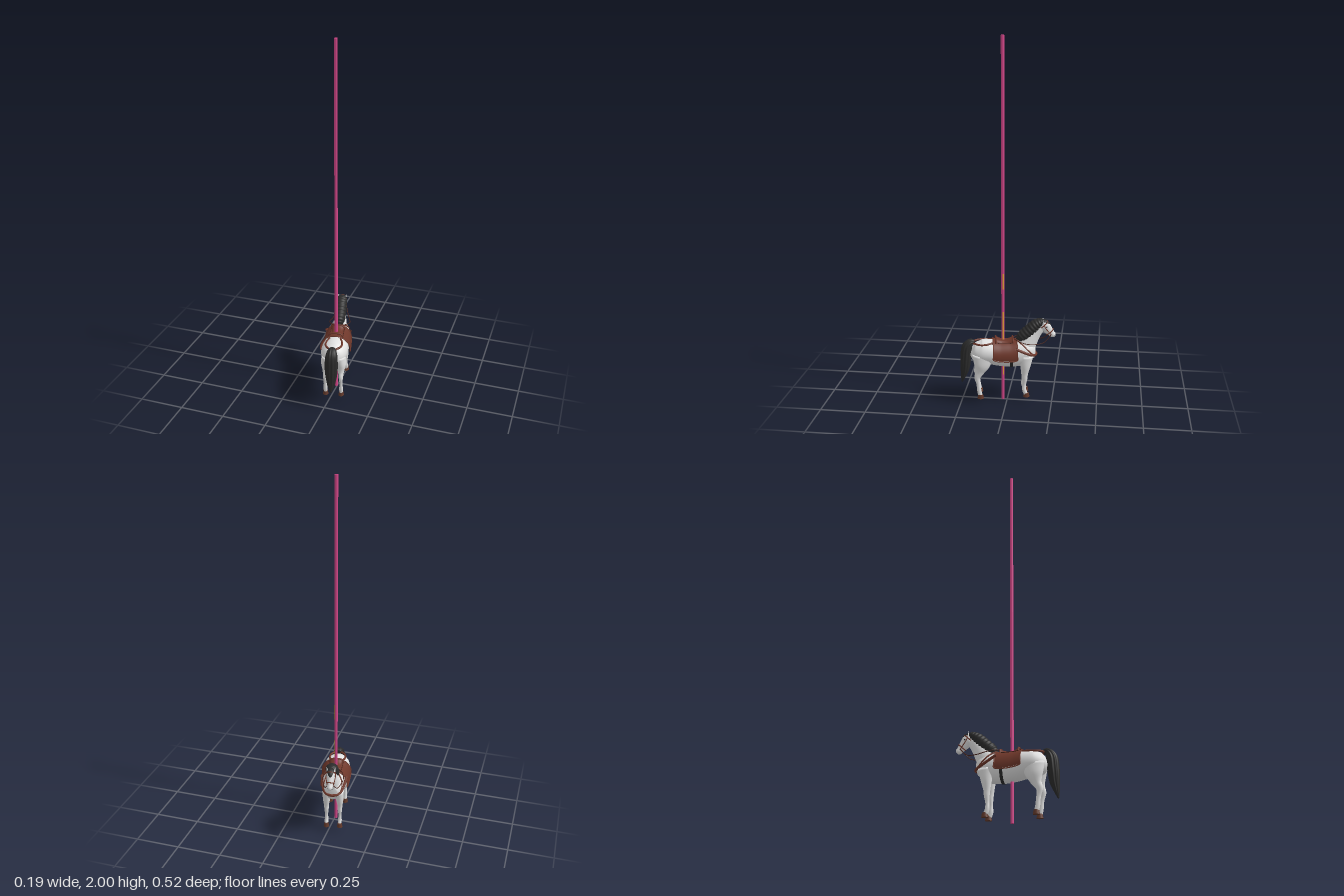
import * as THREE from 'three';
import { mergeVertices } from 'three/addons/utils/BufferGeometryUtils.js';

const mat = (name, color, side = THREE.FrontSide) => {
  const m = new THREE.MeshStandardMaterial({ color, side });
  m.name = name;
  return m;
};

// Smooth surface from a rule fn(u, v) -> [x, y, z]
function surface(nu, nv, fn) {
  const pos = [], idx = [];
  for (let j = 0; j <= nv; j++) for (let i = 0; i <= nu; i++) pos.push(...fn(i / nu, j / nv));
  for (let j = 0; j < nv; j++) for (let i = 0; i < nu; i++) {
    const a = j * (nu + 1) + i, b = a + 1, c = a + nu + 1, d = c + 1;
    idx.push(a, b, c, b, d, c);
  }
  let g = new THREE.BufferGeometry();
  g.setAttribute('position', new THREE.Float32BufferAttribute(pos, 3));
  g.setIndex(idx);
  g = mergeVertices(g, 1e-5);
  g.computeVertexNormals();
  return g;
}

// Closed body through sections [x, y, z, halfWidth, halfDepth]; strands gives hair grooves
function loft(sections, rows = 28, sides = 24, strands = 0, waves = 0) {
  const path = new THREE.CatmullRomCurve3(sections.map(s => new THREE.Vector3(s[0], s[1], s[2])), false, 'catmullrom');
  const size = new THREE.CatmullRomCurve3(sections.map(s => new THREE.Vector3(s[3], s[4], 0)), false, 'catmullrom');
  return surface(sides, rows + 2, (u, v) => {
    const j = Math.round(v * (rows + 2)) - 1;
    const s = Math.min(1, Math.max(0, j / rows));
    const c = path.getPoint(s), r = size.getPoint(s), t = path.getTangent(s);
    const len = Math.hypot(t.y, t.z), a = u * Math.PI * 2;
    const k = j < 0 || j > rows ? 0
      : 1 + (strands ? 0.06 * Math.cos(a * strands) : 0) + (waves ? 0.05 * Math.sin(s * waves) : 0);
    const w = Math.cos(a) * r.x * k, d = Math.sin(a) * r.y * k;
    return [c.x + w, c.y + d * t.z / len, c.z - d * t.y / len];
  });
}

const tube = (pts, r, closed = false) => new THREE.TubeGeometry(
  new THREE.CatmullRomCurve3(pts.map(p => new THREE.Vector3(...p)), closed), 40, r, 8, closed);

// Barrel sections from rump to chest
const BODY = [
  [0, .305, .198, .014, .022], [0, .30, .185, .046, .046], [0, .29, .15, .068, .066],
  [0, .288, .10, .073, .068], [0, .276, .04, .068, .07], [0, .272, -.02, .065, .073],
  [0, .28, -.08, .06, .076], [0, .283, -.125, .05, .06], [0, .28, -.153, .028, .034],
];

// Point on the barrel at z, angle a from the top, raised by off
function onBody(z, a, off) {
  let i = 0;
  while (i < BODY.length - 2 && BODY[i + 1][2] > z) i++;
  const p = BODY[i], q = BODY[i + 1], k = (p[2] - z) / (p[2] - q[2]);
  const mix = n => p[n] + (q[n] - p[n]) * k;
  return [Math.sin(a) * (mix(3) + off), mix(1) + Math.cos(a) * (mix(4) + off), z];
}

const wrap = (z0, z1, a0, a1, off) => surface(32, 14, (u, v) =>
  onBody(z0 + (z1 - z0) * v, a0 + (a1 - a0) * u, typeof off === 'function' ? off(u, v) : off));

export function createModel() {
  const coat = mat('white coat', 0xe2e2e2);
  const hair = mat('black hair', 0x2b2b2b, THREE.DoubleSide);
  const leather = mat('brown leather', 0x6e372a, THREE.DoubleSide);
  const trim = mat('dark leather', 0x4a241c);
  const hoofMat = mat('hoof brown', 0x62392b);
  const pink = mat('pink pole paint', 0xd6478a);
  const gold = mat('gold paint', 0xe9a23b, THREE.DoubleSide);

  const model = new THREE.Group();
  const horse = new THREE.Group();
  horse.name = 'horse';
  horse.position.x = -0.0075;
  horse.rotation.y = 0.18;
  model.add(horse);
  const add = (name, geo, m, parent = horse) => {
    const mesh = new THREE.Mesh(geo, m);
    mesh.name = name;
    parent.add(mesh);
    return mesh;
  };

  // Pole with gold patches on one side
  const poleX = -0.006, poleZ = 0.024;
  add('pole', new THREE.CylinderGeometry(.009, .009, 2, 24), pink, model).position.set(poleX, 1, poleZ);
  for (const [y0, y1] of [[.15, .21], [.34, .52], [.65, .74]])
    add('goldPatch', new THREE.CylinderGeometry(.0094, .0094, y1 - y0, 8, 1, true, Math.PI * .5, Math.PI * .3), gold, model)
      .position.set(poleX, (y0 + y1) / 2, poleZ);

  // Body, neck and head
  add('body', loft(BODY, 36, 32), coat);
  add('neck', loft([
    [0, .28, -.085, .048, .06], [0, .335, -.113, .038, .051], [0, .39, -.148, .027, .039],
    [0, .435, -.182, .021, .032], [0, .45, -.195, .016, .024]]), coat);
  add('head', loft([
    [0, .454, -.188, .016, .018], [0, .435, -.205, .024, .032], [0, .41, -.225, .020, .026],
    [0, .39, -.243, .015, .019], [0, .377, -.255, .015, .016], [0, .37, -.261, .009, .009]]), coat);

  // Mane, forelock and tail
  add('mane', loft([
    [0, .345, -.058, .012, .016], [0, .37, -.083, .030, .034], [0, .403, -.118, .034, .034],
    [0, .435, -.152, .033, .032], [0, .456, -.182, .029, .022], [0, .462, -.2, .016, .01]], 60, 40, 0, 75), hair);
  add('forelock', loft([
    [0, .463, -.192, .014, .009], [0, .459, -.212, .018, .008], [0, .446, -.23, .012, .007],
    [0, .432, -.239, .003, .003]], 16, 20, 5), hair);
  add('tail', loft([
    [0, .345, .183, .014, .012], [0, .346, .205, .024, .017], [0, .315, .224, .032, .028],
    [0, .25, .231, .034, .029], [0, .19, .236, .028, .024], [0, .14, .246, .016, .012],
    [0, .11, .252, .003, .003]], 36, 60, 10), hair);

  // Paired parts
  for (const s of [1, -1]) {
    add('frontLeg', loft([
      [s * .034, .27, -.1, .026, .042], [s * .037, .21, -.098, .021, .028], [s * .038, .165, -.095, .014, .018],
      [s * .038, .135, -.095, .0125, .0145], [s * .038, .10, -.092, .0085, .010], [s * .038, .07, -.092, .0105, .0115],
      [s * .038, .046, -.1, .0105, .012]], 30, 18), coat);
    add('hindLeg', loft([
      [s * .036, .28, .135, .032, .06], [s * .042, .225, .143, .027, .044], [s * .043, .185, .155, .017, .025],
      [s * .044, .153, .168, .012, .017], [s * .044, .115, .163, .009, .0115], [s * .044, .072, .158, .0105, .012],
      [s * .044, .046, .152, .0105, .012]], 30, 18), coat);
    for (const [x, z] of [[.038, -.104], [.044, .151]]) {
      const hoof = add('hoof', new THREE.CylinderGeometry(.0115, .0155, .023, 18), hoofMat);
      hoof.position.set(s * x, .0395, z);
      hoof.scale.z = 1.15;
    }
    const ear = add('ear', new THREE.ConeGeometry(.008, .034, 12), coat);
    ear.position.set(s * .02, .461, -.199);
    ear.rotation.z = -s * .25;
    ear.scale.z = .7;
    add('eye', new THREE.SphereGeometry(.0042, 12, 8), hair).position.set(s * .0215, .433, -.216);
    add('nostril', new THREE.SphereGeometry(.0025, 8, 6), hair).position.set(s * .0115, .379, -.261);

    // Harness
    add('cruppperStrap'.replace('ppp', 'pp'), tube([
      onBody(.08, s * .42, .003), onBody(.115, s * .62, .002), onBody(.15, s * .66, .002),
      onBody(.178, s * .5, .003), onBody(.19, s * .2, .004)], .0055), leather);
    add('breastCollar', tube([
      [s * .069, .325, -.045], [s * .061, .30, -.09], [s * .048, .28, -.13], [s * .028, .272, -.152],
      [0, .27, -.161]], .0075), leather);
    add('neckStrap', tube([
      [s * .02, .358, -.055], [s * .042, .335, -.085], [s * .05, .31, -.11], [s * .045, .284, -.135]], .004), leather);
    add('cheekStrap', tube([
      [s * .0185, .455, -.198], [s * .025, .43, -.208], [s * .0215, .407, -.224], [s * .0175, .388, -.24]], .0025), leather);
    add('rein', tube([
      [s * .0175, .386, -.242], [s * .034, .347, -.2], [s * .049, .342, -.15], [s * .058, .35, -.1],
      [s * .042, .362, -.055], [0, .366, -.03]], .0022), trim);
  }

  // Bridle bands round the head
  for (const [name, y, z, rx, rt] of [['noseband', .398, -.236, .0185, .0235], ['browband', .44, -.2, .0235, .031]]) {
    const ring = [];
    for (let i = 0; i < 16; i++) {
      const a = i * Math.PI / 8, d = Math.sin(a) * rt;
      ring.push([Math.cos(a) * rx, y + d * .66, z - d * .75]);
    }
    add(name, tube(ring, .003, true), leather);
  }

  // Saddle: flaps, edge roll, seat and girth
  const A = 1.75;
  const flare = u => .009 + .004 * Math.abs(u - .5) * 2;
  add('saddleFlaps', wrap(.08, -.052, -A, A, flare), leather);
  const edge = [];
  for (let i = 0; i <= 12; i++) edge.push(onBody(.08, -A + A * i / 6, flare(i / 12)));
  for (let i = 0; i <= 12; i++) edge.push(onBody(-.052, A - A * i / 6, flare(1 - i / 12)));
  add('saddleEdge', new THREE.TubeGeometry(new THREE.CatmullRomCurve3(
    edge.map(p => new THREE.Vector3(...p)), true), 160, .0028, 8, true), leather);
  const rise = v => .013 + .012 * (2 * v - 1) ** 2;
  add('seat', wrap(.064, -.03, -.5, .5, (u, v) => rise(v) - .012 * (2 * u - 1) ** 4), leather);
  for (const [name, z] of [['cantle', .064], ['pommel', -.03]])
    add(name, tube([-.55, -.35, 0, .35, .55].map(a => onBody(z, a, Math.abs(a) > .5 ? .01 : .022)), .005), leather);
  for (const s of [1, -1])
    add('seatSeam', tube([.064, .04, .015, -.01, -.03].map(z => onBody(z, s * .5, .012)), .002), trim);
  add('girth', wrap(-.012, -.028, A - .1, Math.PI * 2 - A + .1, .003), hair);

  return model;
}
